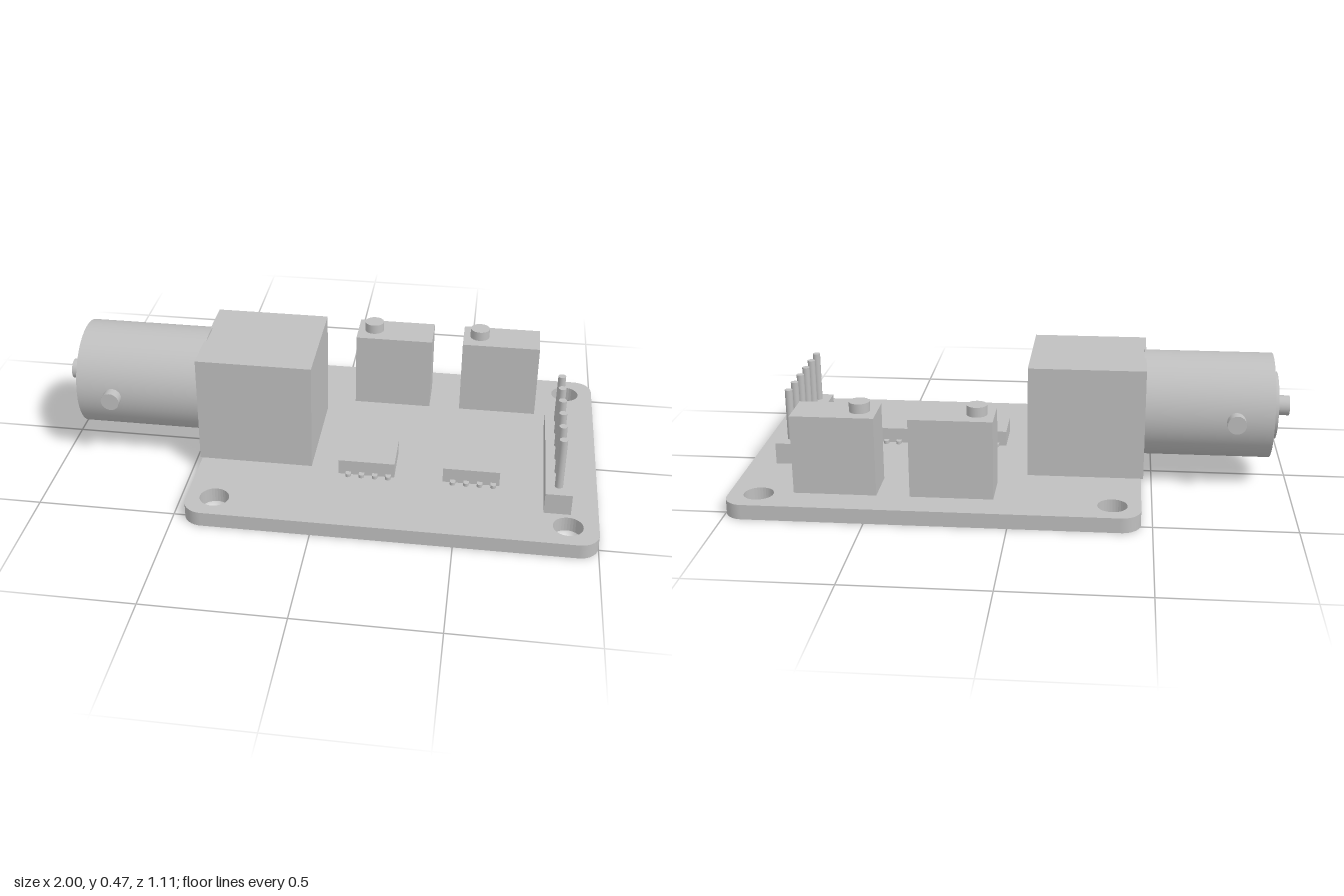
import * as THREE from 'three';

const BOARD_TOP = 0.055;

export function createModel() {
  const model = new THREE.Group();
  const grey = new THREE.MeshStandardMaterial({ color: 0xbfbfbf });
  grey.name = 'plain grey';

  const add = (name, geometry, parent = model) => {
    const mesh = new THREE.Mesh(geometry, grey);
    mesh.name = name;
    parent.add(mesh);
    return mesh;
  };
  const group = (name) => {
    const g = new THREE.Group();
    g.name = name;
    model.add(g);
    return g;
  };
  // Box given by its limits on each axis
  const block = (name, x0, x1, y0, y1, z0, z1, parent) => {
    const mesh = add(name, new THREE.BoxGeometry(x1 - x0, y1 - y0, z1 - z0), parent);
    mesh.position.set((x0 + x1) / 2, (y0 + y1) / 2, (z0 + z1) / 2);
    return mesh;
  };
  // Upright cylinder
  const post = (name, r, x, y0, y1, z, parent, sides = 24) => {
    const mesh = add(name, new THREE.CylinderGeometry(r, r, y1 - y0, sides), parent);
    mesh.position.set(x, (y0 + y1) / 2, z);
    return mesh;
  };

  // Circuit board with rounded corners and four mounting holes
  const x0 = -0.46, x1 = 1, h = 0.555, r = 0.07;
  const outline = new THREE.Shape();
  outline.absarc(x1 - r, h - r, r, 0, Math.PI / 2);
  outline.absarc(x0 + r, h - r, r, Math.PI / 2, Math.PI);
  outline.absarc(x0 + r, -h + r, r, Math.PI, Math.PI * 1.5);
  outline.absarc(x1 - r, -h + r, r, Math.PI * 1.5, Math.PI * 2);
  outline.closePath();
  for (const x of [-0.36, 0.893]) {
    for (const z of [-0.453, 0.453]) {
      const hole = new THREE.Path();
      hole.absarc(x, z, 0.053, 0, Math.PI * 2, true);
      outline.holes.push(hole);
    }
  }
  const board = new THREE.ExtrudeGeometry(outline, { depth: BOARD_TOP, bevelEnabled: false, curveSegments: 16 });
  board.rotateX(-Math.PI / 2);
  add('circuitBoard', board);

  // Coaxial connector pointing to -x
  const connector = group('coaxialConnector');
  block('connectorHousing', -0.468, -0.045, BOARD_TOP, 0.467, -0.208, 0.208, connector);
  const axial = (name, radius, xa, xb) => {
    const mesh = add(name, new THREE.CylinderGeometry(radius, radius, xb - xa, 48), connector);
    mesh.rotation.z = Math.PI / 2;
    mesh.position.set((xa + xb) / 2, 0.281, 0);
  };
  axial('connectorBarrel', 0.194, -0.93, -0.46);
  axial('connectorInsulator', 0.125, -0.95, -0.92);
  axial('connectorCentrePin', 0.037, -1, -0.94);
  const lugs = add('bayonetLugs', new THREE.CylinderGeometry(0.034, 0.034, 0.458, 24), connector);
  lugs.rotation.x = Math.PI / 2;
  lugs.position.set(-0.794, 0.281, 0);

  // Two trimmers with adjusting screws
  for (const x of [0.058, 0.474]) {
    const trimmer = group('trimmer');
    block('trimmerBody', x, x + 0.297, BOARD_TOP, 0.345, -0.436, -0.281, trimmer);
    post('trimmerScrew', 0.037, x + 0.063, 0.34, 0.381, -0.358, trimmer);
  }

  // Two eight-lead chips, leads with rounded tips
  for (const x of [0.06, 0.443]) {
    const chip = group('chip');
    block('chipBody', x, x + 0.206, BOARD_TOP, 0.112, 0.075, 0.24, chip);
    for (let i = 0; i < 4; i++) {
      const lx = x + 0.037 + i * 0.049;
      block('chipLeads', lx - 0.01, lx + 0.01, BOARD_TOP, 0.067, 0.062, 0.252, chip);
      for (const z of [0.062, 0.252]) post('leadTip', 0.01, lx, BOARD_TOP, 0.067, z, chip, 16);
    }
  }

  // Six-pin header
  const header = group('pinHeader');
  block('headerBase', 0.808, 0.903, BOARD_TOP, 0.135, -0.175, 0.382, header);
  for (let i = 0; i < 6; i++) {
    post('headerPin', 0.0145, 0.855, 0.13, 0.329, -0.116 + i * 0.0885, header, 20);
  }

  return model;
}
